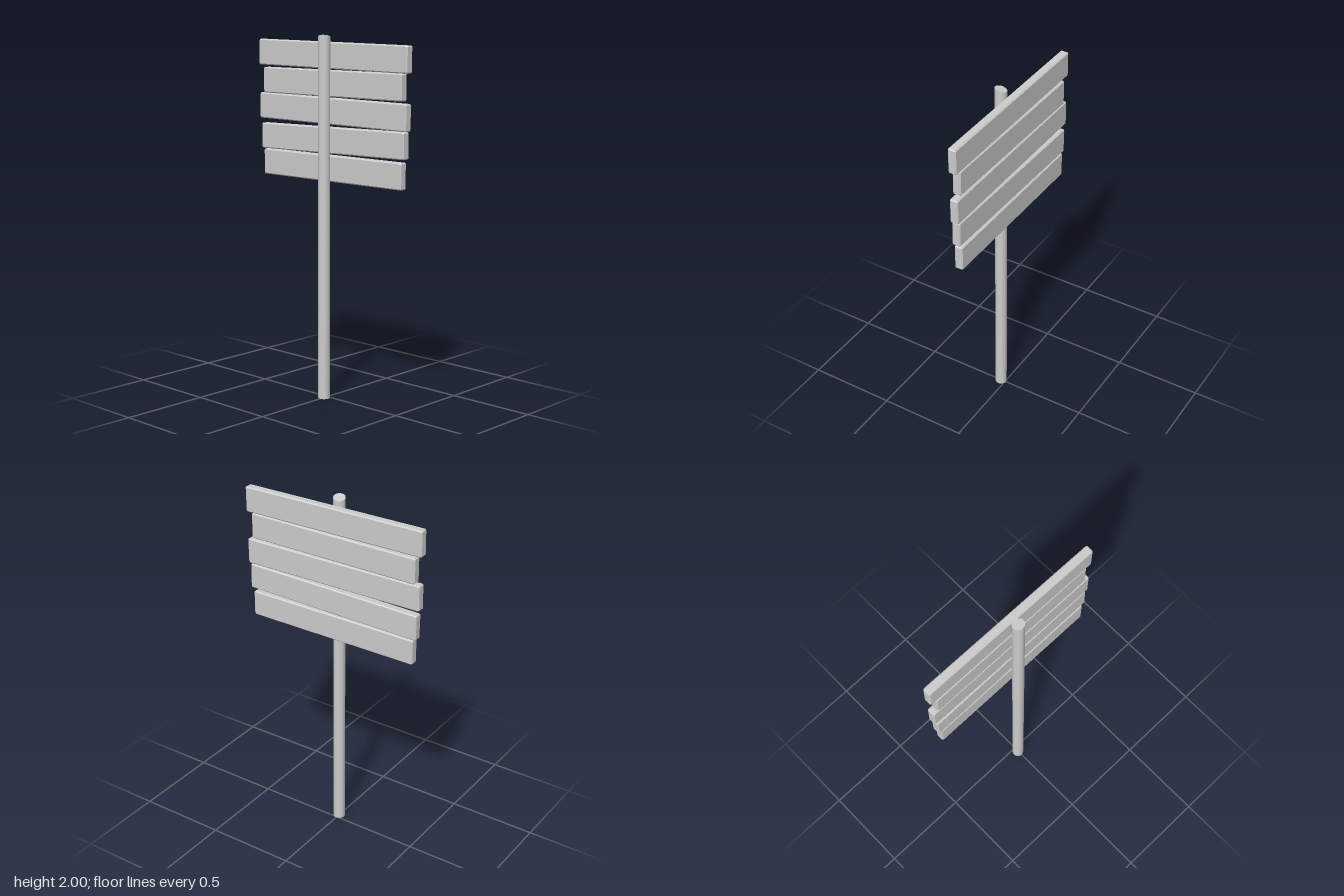
import * as THREE from 'three';

const material = new THREE.MeshStandardMaterial({ color: 0xcccccc });

// Plank with a small chamfer on every edge, centred on its own origin
function plankGeometry(length, height, depth, c = 0.006) {
  const x = length / 2 - c, y = height / 2 - c, k = c / 2;
  const shape = new THREE.Shape([
    [-x + k, -y], [x - k, -y], [x, -y + k], [x, y - k],
    [x - k, y], [-x + k, y], [-x, y - k], [-x, -y + k],
  ].map(([px, py]) => new THREE.Vector2(px, py)));
  const geometry = new THREE.ExtrudeGeometry(shape, {
    depth: depth - 2 * c, bevelSize: c, bevelThickness: c, bevelSegments: 1,
  });
  return geometry.translate(0, 0, -depth / 2 + c);
}

export function createModel() {
  const model = new THREE.Group();
  model.name = 'plankSign';

  // Round post, leaning very slightly, with a top cut at a shallow slant
  const radius = 0.033;
  const postGeometry = new THREE.CylinderGeometry(radius - 0.001, radius, 2, 32, 1);
  postGeometry.translate(0, 1, 0);
  const p = postGeometry.attributes.position;
  for (let i = 0; i < p.count; i++) {
    const x = p.getX(i), z = p.getZ(i), t = p.getY(i) / 2;
    if (t > 0.5) p.setY(i, 1.99 + (0.008 * z + 0.005 * x) / radius);
    p.setZ(i, z + 0.027 - 0.003 * t);
  }
  postGeometry.computeVertexNormals();
  const post = new THREE.Mesh(postGeometry, material);
  post.name = 'post';
  model.add(post);

  // Uneven planks behind the post, top to bottom: length, centre height, tilt
  const planks = [
    [1.088, 1.8875, -0.012],
    [1.018, 1.738, 0],
    [1.078, 1.589, -0.0105],
    [1.052, 1.431, 0.0135],
    [1.018, 1.278, 0],
  ];
  planks.forEach(([length, y, tilt], i) => {
    const plank = new THREE.Mesh(plankGeometry(length, 0.143, 0.047), material);
    plank.name = `plank${i + 1}`;
    plank.position.set(0, y, -0.0365);
    plank.rotation.z = tilt;
    model.add(plank);
  });

  return model;
}
